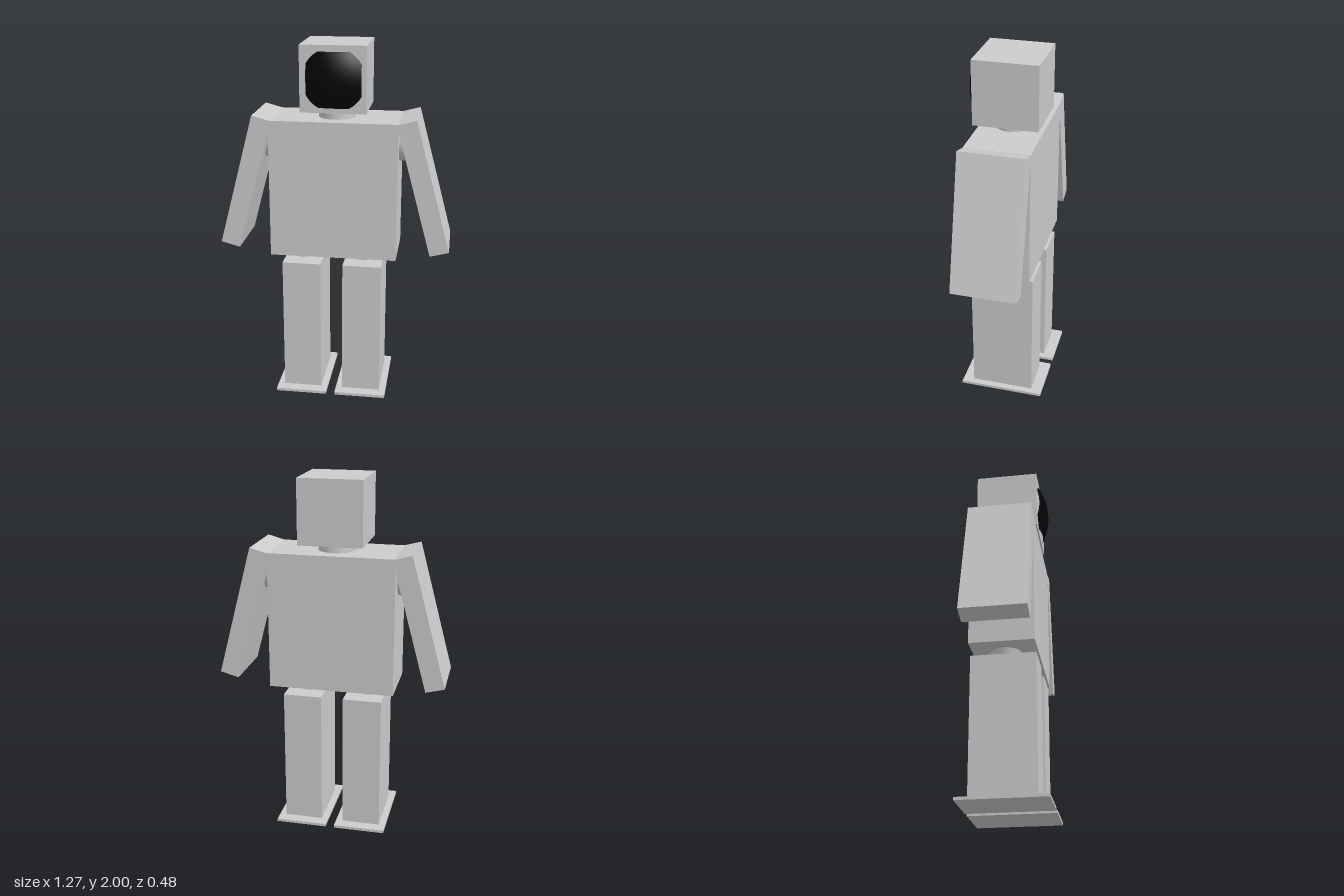
import * as THREE from 'three';

const grey = new THREE.MeshStandardMaterial({ color: 0xcccccc });
const black = new THREE.MeshStandardMaterial({ color: 0x050505, side: THREE.DoubleSide });

const DEPTH = 0.355; // shared by head, torso, arms and legs

export function createModel() {
  const model = new THREE.Group();

  function add(name, geometry, x, y, z = 0, material = grey) {
    const mesh = new THREE.Mesh(geometry, material);
    mesh.name = name;
    mesh.position.set(x, y, z);
    model.add(mesh);
    return mesh;
  }

  // Box given by its x and y limits
  function block(name, x0, x1, y0, y1, depth = DEPTH) {
    return add(name, new THREE.BoxGeometry(x1 - x0, y1 - y0, depth), (x0 + x1) / 2, (y0 + y1) / 2);
  }

  // Head, neck and torso
  block('head', -0.18, 0.175, 1.645, 2);
  add('neck', new THREE.CylinderGeometry(0.102, 0.102, 0.09, 32), -0.003, 1.62);
  block('torso', -0.355, 0.345, 0.83, 1.595);

  // Domed visor: a shallow spherical cap trimmed to a rounded square, open behind
  const visor = new THREE.RingGeometry(0.001, 1, 96, 8);
  const p = visor.attributes.position;
  const R = 0.33;
  for (let i = 0; i < p.count; i++) {
    const t = Math.hypot(p.getX(i), p.getY(i));
    const c = p.getX(i) / t, s = p.getY(i) / t;
    const r = t * Math.min(0.172, 0.147 / Math.max(Math.abs(c), Math.abs(s)));
    p.setXYZ(i, r * c, r * s, Math.sqrt(R * R - r * r) - R);
  }
  visor.computeVertexNormals();
  add('visor', visor, 0.002, 1.82, 0.224, black);

  for (const side of [-1, 1]) {
    const label = side > 0 ? 'left' : 'right';

    // Arm leaning outwards, with a round shoulder joint behind it
    const arm = add(label + 'Arm', new THREE.BoxGeometry(0.108, 0.752, DEPTH), side * 0.487 - 0.001, 1.243);
    arm.rotation.z = side * Math.PI / 12;
    const shoulder = add(label + 'Shoulder', new THREE.CylinderGeometry(0.118, 0.118, 0.1, 32), side * 0.36 - 0.004, 1.478);
    shoulder.rotation.z = Math.PI / 2;

    // Leg with tapered hip joint and flat foot
    const x = side * 0.17 - 0.0125;
    add(label + 'Hip', new THREE.CylinderGeometry(0.088, 0.074, 0.05, 32), x - 0.004, 0.808);
    block(label + 'Leg', x - 0.108, x + 0.108, 0.015, 0.785);
    block(label + 'Foot', x - 0.145, x + 0.145, 0, 0.016, 0.48);
  }

  return model;
}
